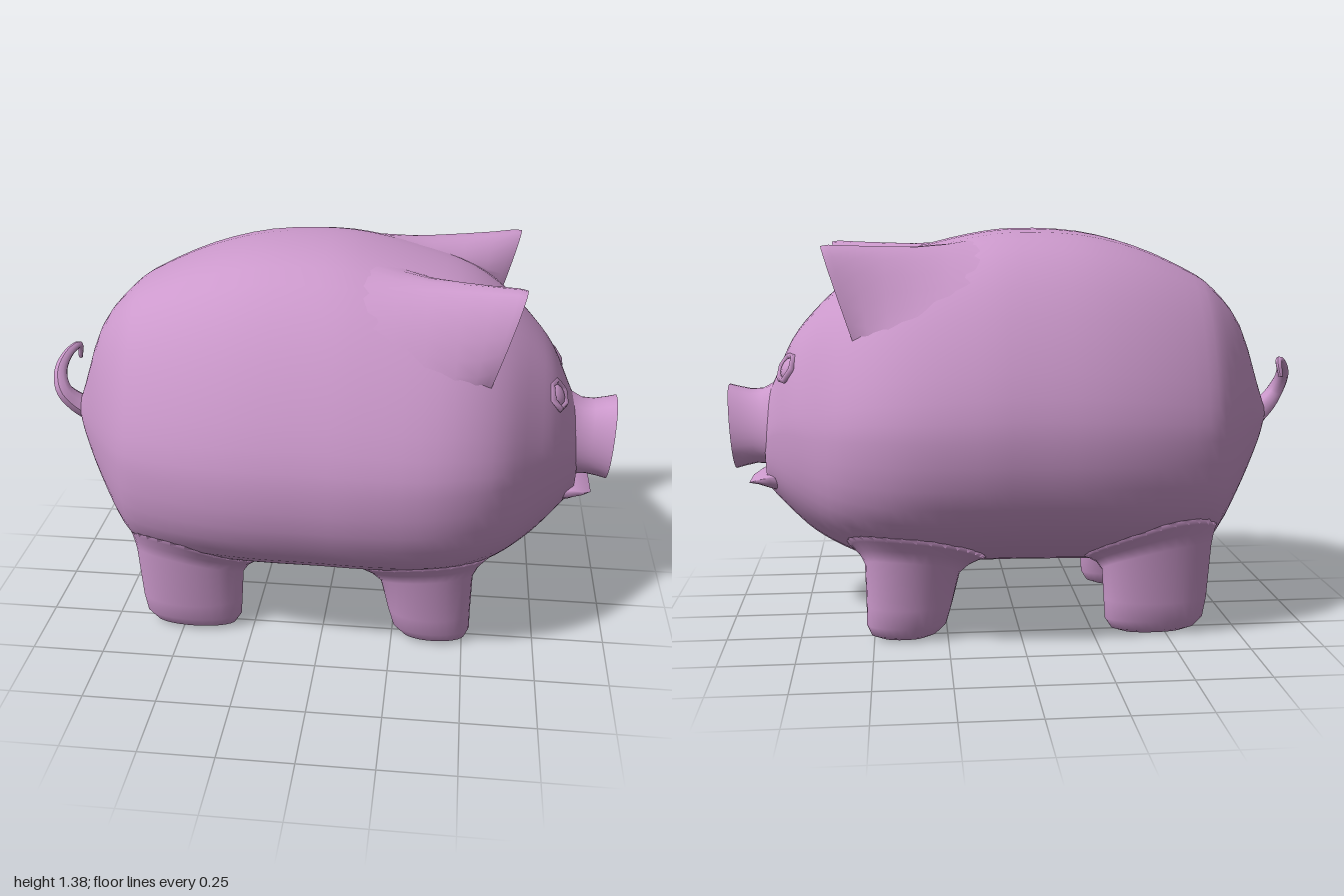
import * as THREE from 'three';

const TAU = Math.PI * 2;
const skin = new THREE.MeshStandardMaterial({ color: 0xcc99cc, side: THREE.DoubleSide });
const V = (x, y, z) => new THREE.Vector3(x, y, z);

// Skin a list of closed rings; optionally close each end with a fan.
function loft(rings, capStart = true, capEnd = true) {
  const n = rings[0].length, pos = [], idx = [];
  rings.forEach(r => r.forEach(p => pos.push(p.x, p.y, p.z)));
  for (let i = 0; i < rings.length - 1; i++) {
    for (let j = 0; j < n; j++) {
      const a = i * n + j, b = i * n + (j + 1) % n;
      idx.push(a, a + n, b, b, a + n, b + n);
    }
  }
  const cap = (row, flip) => {
    const c = V(0, 0, 0);
    rings[row].forEach(p => c.addScaledVector(p, 1 / n));
    const ci = pos.length / 3;
    pos.push(c.x, c.y, c.z);
    for (let j = 0; j < n; j++) {
      const a = row * n + j, b = row * n + (j + 1) % n;
      flip ? idx.push(ci, a, b) : idx.push(ci, b, a);
    }
  };
  if (capStart) cap(0, true);
  if (capEnd) cap(rings.length - 1, false);
  const g = new THREE.BufferGeometry();
  g.setAttribute('position', new THREE.Float32BufferAttribute(pos, 3));
  g.setIndex(idx);
  g.computeVertexNormals();
  return g;
}

const ring = (n, f) => Array.from({ length: n }, (_, j) => f(Math.cos(j / n * TAU), Math.sin(j / n * TAU)));

// Body sections: x, bottom, top, half width, height of the widest point
const keys = [
  [-0.91, 0.68, 0.75, 0.035, 0.715], [-0.87, 0.58, 0.85, 0.12, 0.71], [-0.79, 0.42, 1.06, 0.26, 0.71],
  [-0.69, 0.25, 1.18, 0.40, 0.70], [-0.60, 0.205, 1.24, 0.475, 0.70], [-0.42, 0.2, 1.32, 0.545, 0.71],
  [-0.22, 0.205, 1.37, 0.59, 0.72], [0.0, 0.21, 1.38, 0.61, 0.73], [0.16, 0.21, 1.36, 0.617, 0.73],
  [0.34, 0.21, 1.315, 0.605, 0.73], [0.48, 0.22, 1.265, 0.565, 0.73], [0.60, 0.265, 1.185, 0.49, 0.72],
  [0.70, 0.32, 1.09, 0.37, 0.71], [0.77, 0.38, 1.0, 0.28, 0.71], [0.83, 0.44, 0.87, 0.18, 0.69],
  [0.865, 0.48, 0.80, 0.12, 0.66],
];
const outline = new THREE.CatmullRomCurve3(keys.map(k => V(k[0], k[1], k[2])), false, 'catmullrom');
const girth = new THREE.CatmullRomCurve3(keys.map(k => V(k[0], k[3], k[4])), false, 'catmullrom');
const steps = (keys.length - 1) * 3;
const sections = Array.from({ length: steps + 1 }, (_, i) => {
  const o = outline.getPoint(i / steps), g = girth.getPoint(i / steps);
  return [o.x, o.y, o.z, g.y, g.z];
});

// Height on a section at the relative width c: broad back, sloping shoulders, full lower flanks
function sectionY([, bottom, top, , mid], c, side) {
  const s = Math.sqrt(Math.max(0, 1 - c * c));
  const h = s * (1 + (side > 0 ? 0.5 : -0.35) * c * c * (s * s - 0.5));
  return side > 0 ? mid + (top - mid) * h : mid - (mid - bottom) * h;
}

// Height of the body surface over (x, z): side 1 is the back, -1 the belly
function bodyY(x, z, side) {
  const i = Math.max(1, sections.findIndex(s => s[0] >= x));
  const t = (x - sections[i - 1][0]) / (sections[i][0] - sections[i - 1][0]);
  const section = sections[i].map((v, k) => THREE.MathUtils.lerp(sections[i - 1][k], v, t));
  return sectionY(section, THREE.MathUtils.clamp(z / section[3], -1, 1), side);
}

export function createModel() {
  const model = new THREE.Group();
  model.name = 'pig';
  const add = (name, geo, parent = model) => {
    const m = new THREE.Mesh(geo, skin);
    m.name = name;
    parent.add(m);
    return m;
  };
  // The part is made on +z and mirrored to -z
  const addPair = (name, geo) => {
    add(name + 'Right', geo);
    add(name + 'Left', geo).scale.z = -1;
  };

  add('body', loft(sections.map(sec => ring(48, (c, s) => V(sec[0], sectionY(sec, c, s), sec[3] * c)))));

  // Legs: foot rows (y, x, radius x, radius z), then rows draped on the belly (offset, x, radii)
  const leg = (foot, draped) => loft([
    ...foot.map(([y, x, rx, rz]) => ring(28, (c, s) => V(x + rx * c, y, 0.28 + rz * s))),
    ...draped.map(([off, x, rx, rz]) => ring(28, (c, s) => {
      const px = x + rx * c, pz = 0.275 + rz * s;
      return V(px, bodyY(px, pz, -1) + off, pz);
    })),
  ]);
  addPair('frontLeg', leg(
    [[0, 0.40, 0.07, 0.028], [0.015, 0.40, 0.11, 0.05], [0.05, 0.39, 0.135, 0.066], [0.12, 0.38, 0.145, 0.088]],
    [[-0.05, 0.368, 0.16, 0.118], [-0.022, 0.36, 0.185, 0.142], [-0.006, 0.355, 0.215, 0.17], [0.006, 0.35, 0.25, 0.2]]));
  addPair('backLeg', leg(
    [[0, -0.46, 0.1, 0.028], [0.015, -0.46, 0.145, 0.05], [0.05, -0.465, 0.172, 0.066], [0.12, -0.468, 0.18, 0.088]],
    [[-0.05, -0.472, 0.19, 0.116], [-0.022, -0.465, 0.202, 0.136], [-0.006, -0.455, 0.218, 0.158], [0.006, -0.445, 0.235, 0.18]]));

  // Ears: ridges rising out of the back to a tip
  // x, inner z, outer z, ridge height, edge softness, forward slant
  const earRings = [
    [0.04, 0.10, 0.46, 1.312, 4, 0], [0.14, 0.10, 0.47, 1.308, 4, 0], [0.24, 0.11, 0.47, 1.306, 4, 0],
    [0.34, 0.13, 0.47, 1.308, 3.5, 0], [0.44, 0.16, 0.46, 1.312, 2.6, 0.05], [0.52, 0.19, 0.435, 1.316, 1.8, 0.16],
    [0.575, 0.215, 0.41, 1.32, 1.2, 0.3], [0.597, 0.225, 0.4, 1.316, 1, 0.33],
  ].map(([x, z0, z1, tip, soft, slant]) => ring(28, (c, s) => {
    const up = Math.max(s, 0) ** soft, mid = (z0 + z1) / 2;
    const z = mid + (z1 - z0) / 2 * c;
    const base = bodyY(x, z, 1) - 0.006 + 0.03 * Math.min(s, 0);
    const y = base + (tip - bodyY(x, mid, 1) + 0.006) * up;
    return V(x + slant * (y - 1.18), y, z + 0.045 * up * slant / 0.33);
  }));
  addPair('ear', loft(earRings, true, false));
  // Shallow hollow in the front of the ear
  const rim = earRings[earRings.length - 1];
  const hollow = [1, 0.5].map((k, i) => rim.map(p =>
    V(0.60 + (p.x - 0.60) * k - 0.015 * i, 1.2 + (p.y - 1.2) * k, 0.33 + (p.z - 0.33) * k)));
  addPair('innerEar', loft(hollow, false, true));

  // Snout: rounded tube flaring to a flat, slightly tilted face
  const snout = new THREE.Group();
  snout.name = 'snout';
  model.add(snout);
  const faceX = y => 0.983 + (y - 0.7) * 0.07;
  const egg = (kz, ky, c, s) => [
    0.116 * kz * Math.sign(c) * Math.abs(c) ** 0.75 * (1 - 0.16 * s), 0.697 + 0.147 * ky * s];
  const snoutRings = [[0.78, 1.5, 1.25], [0.83, 1.25, 1.03], [0.87, 1.08, 0.89], [0.91, 1.0, 0.88], [0.95, 0.98, 0.94], [0.983, 1, 1]]
    .map(([x, kz, ky]) => ring(32, (c, s) => {
      const [z, y] = egg(kz, ky, c, s);
      return V(x + faceX(y) - 0.983, y, z);
    }));
  add('snoutWall', loft(snoutRings, false, false), snout);

  const face = new THREE.Shape(ring(32, (c, s) => new THREE.Vector2(...egg(1, 1, c, s))));
  const nostril = (side, k, c, s) => [side * 0.045 + 0.013 * k * c, 0.73 + 0.027 * k * s];
  for (const side of [-1, 1]) {
    face.holes.push(new THREE.Path(ring(8, (c, s) => new THREE.Vector2(...nostril(side, 1, c, s)))));
    const pocket = [[0, 1], [0.04, 0.5]].map(([d, k]) => ring(8, (c, s) => {
      const [z, y] = nostril(side, k, c, s);
      return V(faceX(y) - d, y, z);
    }));
    add('nostril', loft(pocket, false, true), snout);
  }
  const faceGeo = new THREE.ShapeGeometry(face).rotateY(Math.PI / 2);
  const fp = faceGeo.attributes.position;
  for (let i = 0; i < fp.count; i++) fp.setX(i, faceX(fp.getY(i)));
  faceGeo.computeVertexNormals();
  add('snoutFace', faceGeo, snout);

  // Lower lip: thin wedge under the snout, nearly flat on top
  const lip = [[0.78, 0.535, 0.08, 0.15], [0.85, 0.535, 0.06, 0.14], [0.895, 0.522, 0.028, 0.115], [0.928, 0.506, 0.005, 0.07]]
    .map(([x, y, ry, rz]) => ring(16, (c, s) => V(x, y + ry * (s > 0 ? 0.15 : 1) * s, rz * c)));
  add('lowerLip', loft(lip));

  // Eyes: faceted lids around small sunken eyeballs
  for (const side of [1, -1]) {
    const eye = new THREE.Group();
    eye.name = side > 0 ? 'eyeRight' : 'eyeLeft';
    add('eyelid', new THREE.TorusGeometry(0.048, 0.013, 4, 6), eye);
    add('eyeball', new THREE.SphereGeometry(0.036, 8, 6), eye).scale.z = 0.4;
    eye.position.set(0.776, 0.92, side * 0.178);
    eye.lookAt(0.776 + 0.8, 0.92 + 0.42, side * (0.178 + 0.36));
    model.add(eye);
  }

  // Tail: tapering curl
  const curl = new THREE.CatmullRomCurve3([
    V(-0.87, 0.7, 0), V(-0.925, 0.74, 0.02), V(-0.965, 0.79, 0.03), V(-0.98, 0.85, 0),
    V(-0.962, 0.9, -0.05), V(-0.935, 0.915, -0.1), V(-0.94, 0.86, -0.115)]);
  const tail = new THREE.TubeGeometry(curl, 28, 0.048, 8);
  const tp = tail.attributes.position, p = V(0, 0, 0);
  for (let i = 0; i < tp.count; i++) {
    const t = tail.attributes.uv.getX(i), c = curl.getPointAt(t);
    p.fromBufferAttribute(tp, i).sub(c).multiplyScalar(1 - 0.85 * t ** 0.8).add(c);
    tp.setXYZ(i, p.x, p.y, p.z);
  }
  tail.computeVertexNormals();
  add('tail', tail);

  return model;
}
